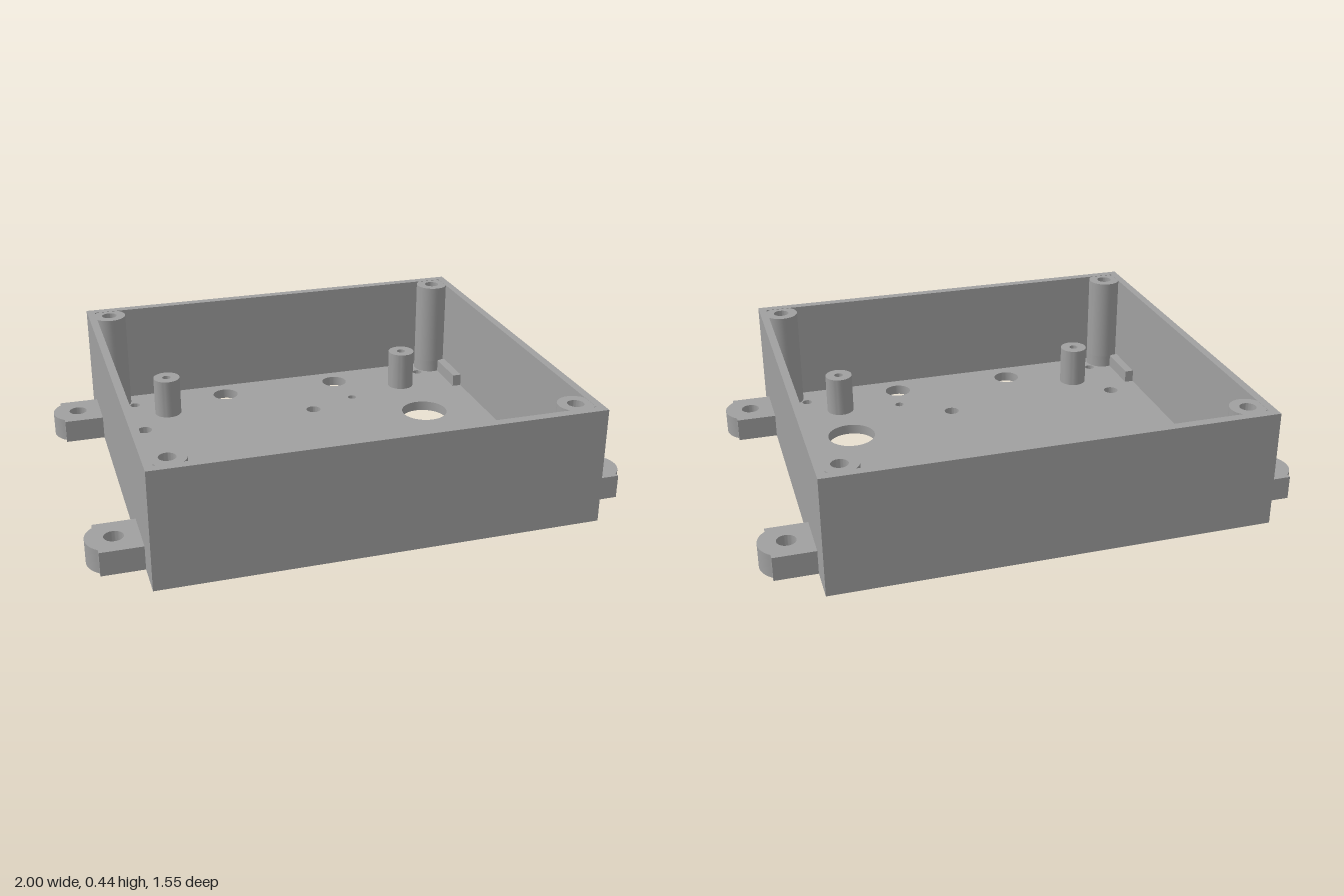
import * as THREE from 'three';
import { toCreasedNormals } from 'three/addons/utils/BufferGeometryUtils.js';

const grey = new THREE.MeshStandardMaterial({ color: 0xa0a0a0 });
grey.name = 'grey plastic';

// Outlines are drawn in plan, as (x, z)
function circle(Type, x, z, r) {
  const p = new Type();
  p.absarc(x, z, r, 0, Math.PI * 2, false);
  return p;
}

function rect(Type, hx, hz) {
  return new Type([[-hx, -hz], [hx, -hz], [hx, hz], [-hx, hz]].map(([x, z]) => new THREE.Vector2(x, z)));
}

function hexagon(x, z, r) {
  const pts = [];
  for (let i = 0; i < 6; i++) {
    const a = Math.PI / 6 + i * Math.PI / 3;
    pts.push(new THREE.Vector2(x + r * Math.cos(a), z + r * Math.sin(a)));
  }
  return new THREE.Path(pts);
}

// Raise a plan outline with holes from y0 to y1
function slab(name, shape, holes, y0, y1) {
  shape.holes.push(...holes);
  const geo = new THREE.ExtrudeGeometry(shape, { depth: y1 - y0, bevelEnabled: false, curveSegments: 20 });
  geo.rotateX(Math.PI / 2).translate(0, y1, 0);
  const mesh = new THREE.Mesh(toCreasedNormals(geo, 0.6), grey);
  mesh.name = name;
  return mesh;
}

export function createModel() {
  const model = new THREE.Group();
  model.name = 'enclosureBase';
  const H = 0.44, FLOOR = 0.04, TAB = 0.09;
  const HX = 0.81, HZ = 0.775, IX = 0.78, IZ = 0.74;
  const POST_X = 0.725, POST_Z = 0.69;
  const { Shape, Path } = THREE;
  const corners = [[-1, -1], [1, -1], [1, 1], [-1, 1]];

  // Outer walls
  model.add(slab('walls', rect(Shape, HX, HZ), [rect(Path, IX, IZ)], 0, H));

  // Floor with cable, vent and screw holes and hexagonal nut pockets
  const holes = [[0.525, -0.225, 0.095], [0.525, 0.272, 0.095], [0.274, -0.45, 0.018], [0.274, 0.5, 0.018]];
  for (const s of [-1, 1]) {
    holes.push([-0.25, s * 0.64, 0.053], [0.25, s * 0.64, 0.053]);
    holes.push([-0.65, s * 0.375, 0.03], [0.075, s * 0.375, 0.03]);
    holes.push([-0.65, s * 0.637, 0.02], [0.65, s * 0.637, 0.02]);
  }
  const cuts = holes.map(([x, z, r]) => circle(Path, x, z, r));
  for (const [sx, sz] of corners) cuts.push(hexagon(sx * POST_X, sz * POST_Z, 0.05));
  model.add(slab('floor', rect(Shape, IX, IZ), cuts, 0, FLOOR));

  for (const [sx, sz] of corners) {
    // Corner screw post above its nut pocket
    const px = sx * POST_X, pz = sz * POST_Z;
    model.add(slab('cornerPostFoot', circle(Shape, px, pz, 0.066), [hexagon(px, pz, 0.05)], FLOOR, 0.09));
    model.add(slab('cornerPost', circle(Shape, px, pz, 0.066), [circle(Path, px, pz, 0.03)], 0.09, H - 0.001));

    // Board standoff with a blind screw hole
    const bx = sx * 0.525, bz = sz * 0.525;
    model.add(slab('standoff', circle(Shape, bx, bz, 0.055), [circle(Path, bx, bz, 0.018)], FLOOR, 0.2));

    // Mounting tab: a block with a round nose
    const tz = sz * 0.537, w = 0.098, r = 0.1, cx = 0.9, ex = 0.963;
    const a = Math.acos((ex - cx) / r);
    const pts = [[HX, -w], [ex, -w]];
    for (let i = 0; i <= 16; i++) {
      const t = -a + (2 * a * i) / 16;
      pts.push([cx + r * Math.cos(t), r * Math.sin(t)]);
    }
    pts.push([ex, w], [HX, w]);
    const outline = new Shape(pts.map(([x, z]) => new THREE.Vector2(sx * x, tz + z)));
    model.add(slab('mountingTab', outline, [circle(Path, sx * cx, tz, 0.035)], 0, TAB));

    // Stiffening rib inside the wall behind the tab
    const rib = new THREE.Mesh(new THREE.BoxGeometry(0.036, TAB - FLOOR, 0.196), grey);
    rib.name = 'innerRib';
    rib.position.set(sx * (IX - 0.018), (TAB + FLOOR) / 2, tz);
    model.add(rib);
  }
  return model;
}
